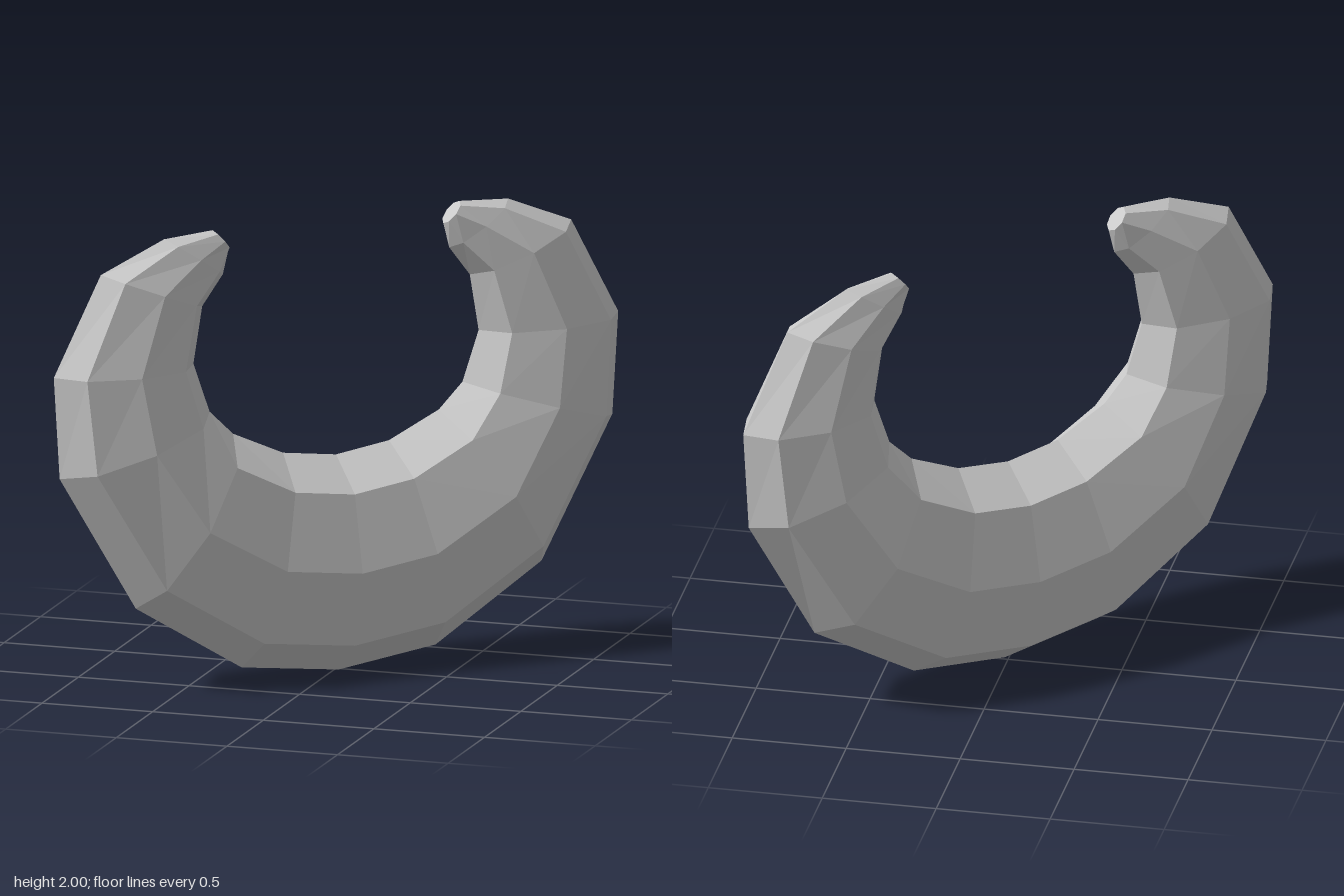
import * as THREE from 'three';

// Half of the arc, bottom to tip: outer x, outer y, inner x, inner y, half thickness
const HALF = [
  [0.0, 0.0, 0.0, 0.945, 0.255],
  [0.33, 0.06, 0.18, 0.98, 0.255],
  [0.69, 0.375, 0.35, 1.09, 0.26],
  [0.94, 0.98, 0.43, 1.2, 0.215],
  [0.96, 1.43, 0.485, 1.42, 0.177],
  [0.8, 1.86, 0.455, 1.67, 0.13],
  [0.585, 1.985, 0.385, 1.8, 0.075],
  [0.42, 2.0, 0.365, 1.91, 0.045],
];
const SIDES = 8;

// One elliptical eight-sided ring between the outer and inner rim
function ring([ox, oy, ix, iy, t], side) {
  const points = [];
  for (let k = 0; k < SIDES; k++) {
    const a = (k / SIDES) * Math.PI * 2;
    const c = Math.cos(a) / 2;
    const x = (ox + ix) / 2 + (ox - ix) * c;
    const y = (oy + iy) / 2 + (oy - iy) * c;
    // the lower keel leans slightly forward
    const lean = k === 0 && oy < 0.5 ? 0.025 : 0;
    points.push([side * x * Math.SQRT2, y, t * Math.sin(a) + lean]);
  }
  return points;
}

function crescentGeometry() {
  // left tip -> bottom -> right tip
  const rings = [
    ...HALF.slice(1).reverse().map((s) => ring(s, -1)),
    ...HALF.map((s) => ring(s, 1)),
  ];
  const last = rings.length - 1;
  const index = [];
  for (let i = 0; i < last; i++) {
    for (let k = 0; k < SIDES; k++) {
      const a = i * SIDES + k;
      const b = i * SIDES + ((k + 1) % SIDES);
      index.push(a, a + SIDES, b, b, a + SIDES, b + SIDES);
    }
  }
  // blunt caps at both tips
  for (let k = 1; k < SIDES - 1; k++) {
    const e = last * SIDES;
    index.push(0, k, k + 1, e, e + k + 1, e + k);
  }
  const geometry = new THREE.BufferGeometry();
  geometry.setAttribute('position', new THREE.Float32BufferAttribute(rings.flat(2), 3));
  geometry.setIndex(index);
  const flat = geometry.toNonIndexed();
  flat.computeVertexNormals();
  return flat;
}

export function createModel() {
  const group = new THREE.Group();
  group.name = 'crescent';
  const body = new THREE.Mesh(
    crescentGeometry(),
    new THREE.MeshStandardMaterial({ color: 0xcccccc, flatShading: true }),
  );
  body.name = 'crescentBody';
  // the crescent stands on the diagonal
  body.rotation.y = Math.PI / 4;
  group.add(body);
  return group;
}
